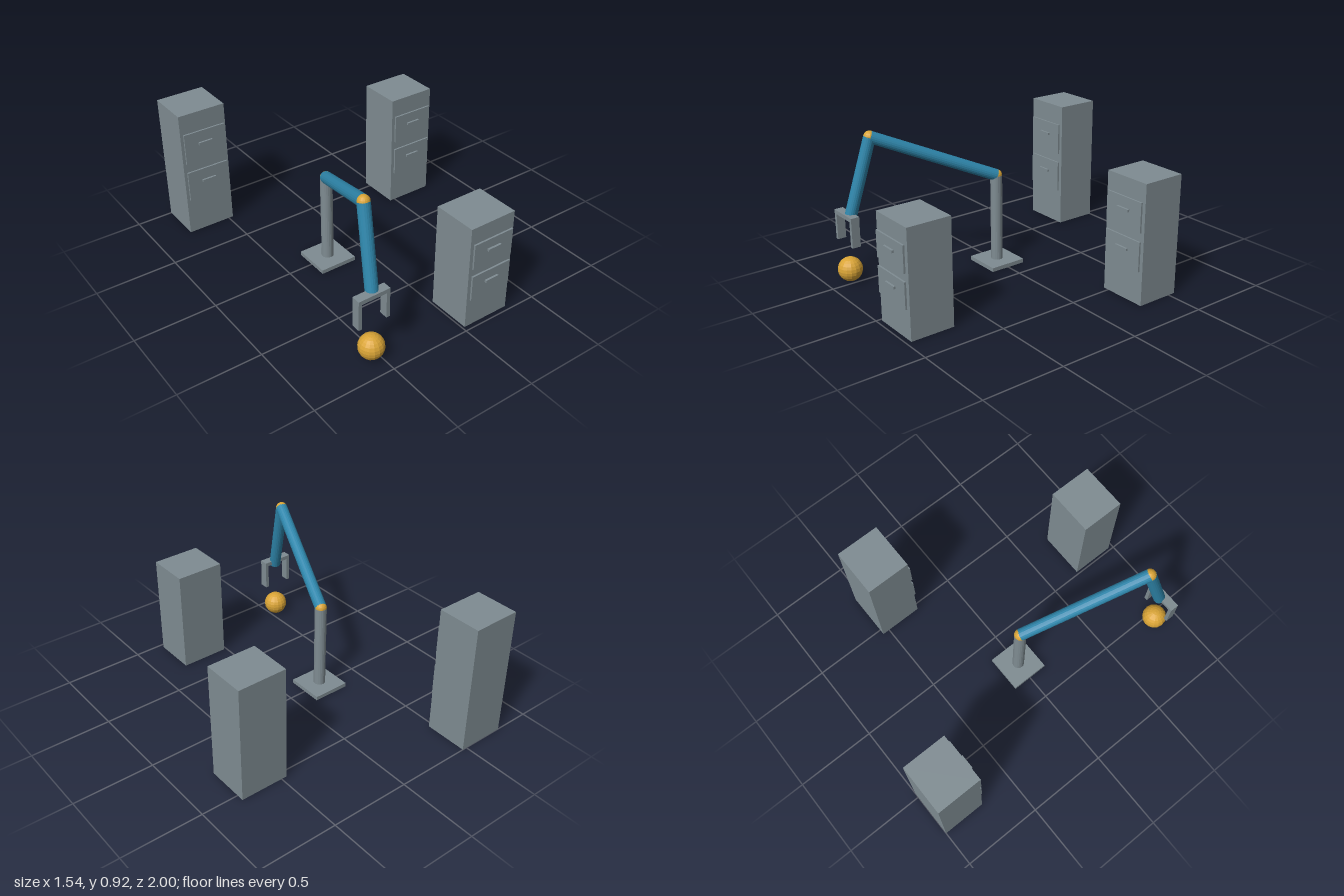
import * as THREE from 'three';

const mat = (name, color) => {
  const m = new THREE.MeshStandardMaterial({ color, flatShading: true });
  m.name = name;
  return m;
};

export function createModel() {
  const grey = mat('steel grey', 0x7f8c92);
  const blue = mat('arm blue', 0x2e86ab);
  const amber = mat('amber', 0xd9a436);

  const model = new THREE.Group();
  model.name = 'robotArmScene';

  const add = (parent, name, geometry, material, x, y, z) => {
    const mesh = new THREE.Mesh(geometry, material);
    mesh.name = name;
    mesh.position.set(x, y, z);
    parent.add(mesh);
    return mesh;
  };
  const box = (parent, name, w, h, d, x, y, z) =>
    add(parent, name, new THREE.BoxGeometry(w, h, d), grey, x, y, z);

  // Filing cabinets: body plus two drawers whose sizes follow the height
  const W = 0.303, D = 0.273;
  const cabinet = (name, x, front, h) => {
    const g = new THREE.Group();
    g.name = name;
    g.position.set(x, 0, front);
    box(g, 'cabinetBody', W, h, D, 0, h / 2, -D / 2);
    for (const f of [0.408, 0.727]) {
      box(g, 'drawerFront', 0.27, h * 0.245, 0.011, 0, h * f, 0.0115);
      box(g, 'drawerHandle', 0.09, 0.015, 0.014, 0, h * (f + 0.025), 0.023);
    }
    model.add(g);
  };
  cabinet('tallCabinet', -0.622, -0.727, 0.82);
  cabinet('middleCabinet', 0.617, -0.272, 0.735);
  cabinet('shortCabinet', 0.167, 0.97, 0.65);

  // Robot arm: base plate, column and two links between ball joints
  const arm = new THREE.Group();
  arm.name = 'robotArm';
  model.add(arm);
  const R = 0.0365;
  const foot = new THREE.Vector3(-0.228, 0.025, 0);
  const shoulder = new THREE.Vector3(-0.228, 0.572, 0);
  const elbow = new THREE.Vector3(-0.486, 0.884, 0.708);
  const wrist = new THREE.Vector3(-0.529, 0.402, 0.842);
  const link = (name, a, b, material) => {
    const dir = b.clone().sub(a);
    const mid = a.clone().add(b).multiplyScalar(0.5);
    const mesh = add(arm, name, new THREE.CylinderGeometry(R, R, dir.length(), 20), material, mid.x, mid.y, mid.z);
    mesh.quaternion.setFromUnitVectors(new THREE.Vector3(0, 1, 0), dir.normalize());
  };
  box(arm, 'basePlate', 0.235, 0.025, 0.235, -0.228, 0.0125, 0);
  link('column', foot, shoulder, grey);
  link('upperArm', shoulder, elbow, blue);
  link('forearm', elbow, wrist, blue);
  for (const [name, p] of [['shoulderJoint', shoulder], ['elbowJoint', elbow]]) {
    add(arm, name, new THREE.SphereGeometry(R, 16, 12), amber, p.x, p.y, p.z);
  }

  // Gripper: palm with two fingers
  const gripper = new THREE.Group();
  gripper.name = 'gripper';
  gripper.position.set(-0.543, 0, 0.856);
  arm.add(gripper);
  box(gripper, 'palm', 0.2, 0.025, 0.055, 0, 0.421, 0);
  for (const s of [-1, 1]) box(gripper, 'finger', 0.022, 0.162, 0.053, s * 0.089, 0.329, 0);

  // Ball below the gripper
  add(model, 'ball', new THREE.SphereGeometry(0.075, 16, 12), amber, -0.542, 0.077, 0.857);

  return model;
}
